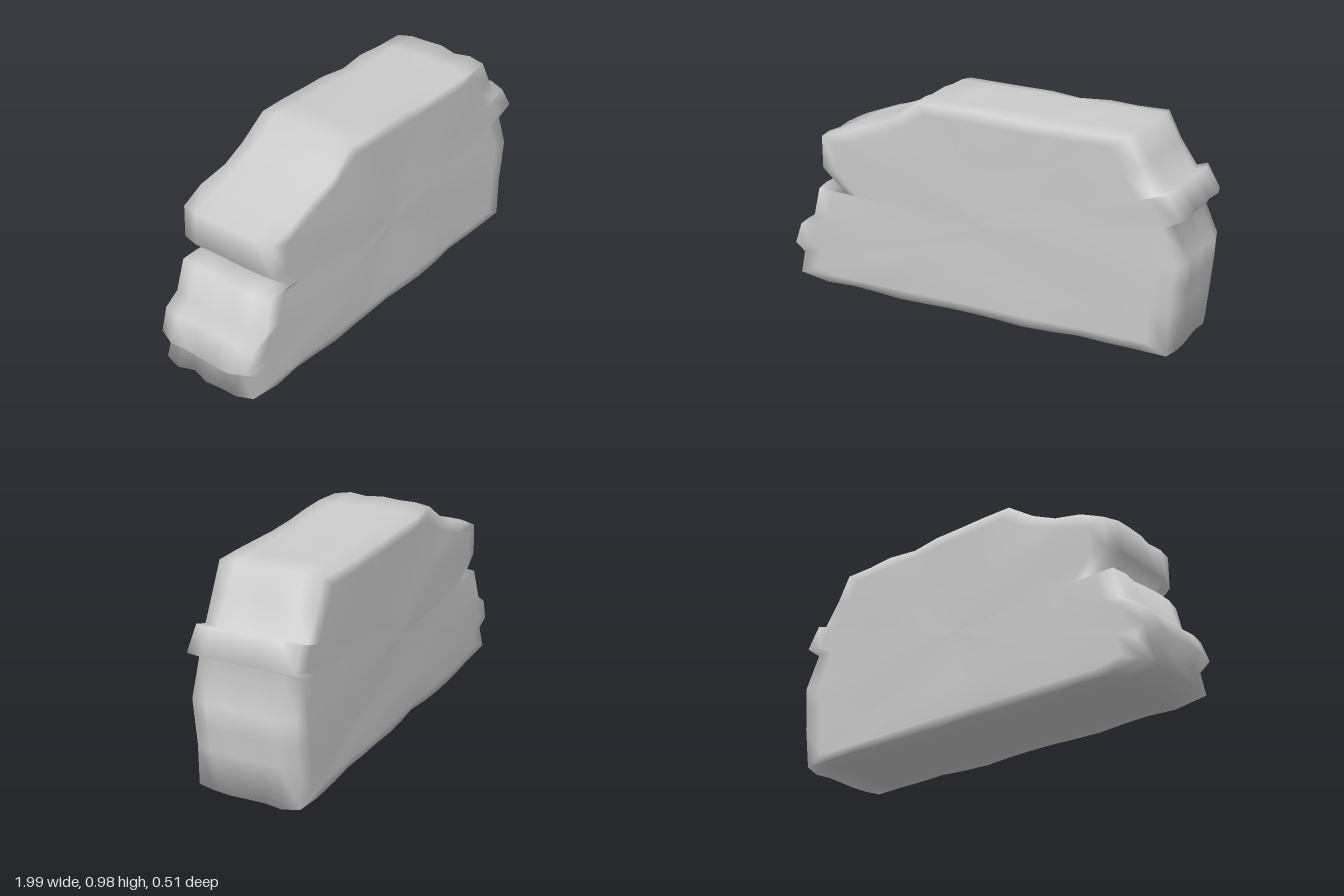
import * as THREE from 'three';

// Broken-stone silhouette, counter-clockwise as seen from the front
const OUTLINE = [
  [-0.97, 0.035], [-0.81, 0.01], [-0.4, 0.008], [0, 0.008], [0.25, 0.005], [0.95, 0.005],
  [0.965, 0.2], [0.985, 0.42], [0.91, 0.59], [0.995, 0.635], [0.935, 0.745], [0.875, 0.725],
  [0.735, 0.965], [0.3, 0.97], [0, 0.98], [-0.28, 0.988], [-0.42, 0.895], [-0.55, 0.845],
  [-0.81, 0.755], [-0.815, 0.6], [-0.7, 0.49], [-0.835, 0.495], [-0.88, 0.34], [-0.95, 0.295],
  [-1, 0.185], [-0.935, 0.15],
];
const CENTER = [0.03, 0.45];

// Repeatable noise from two integers, 0..1
function noise(a, b) {
  const s = Math.sin(a * 12.9898 + b * 78.233) * 43758.5453;
  return s - Math.floor(s);
}

// Split long edges so the stone can be roughened
function subdivide(points, step) {
  const out = [];
  points.forEach((p, i) => {
    const q = points[(i + 1) % points.length];
    const n = Math.max(1, Math.round(Math.hypot(q[0] - p[0], q[1] - p[1]) / step));
    for (let k = 0; k < n; k++) {
      out.push([p[0] + (q[0] - p[0]) * k / n, p[1] + (q[1] - p[1]) * k / n]);
    }
  });
  return out;
}

// Cross-sections from the middle of the back face to the middle of the front face: [z, scale]
function sections() {
  const cap = [[0.25, 0], [0.25, 0.3], [0.25, 0.6], [0.25, 0.88], [0.246, 0.985]];
  const back = cap.map(([z, s]) => [-z, s]);
  const sides = [-0.165, -0.083, 0, 0.083, 0.165].map((z) => [z, 1]);
  return [...back, ...sides, ...cap.reverse()];
}

function stoneGeometry() {
  const ring = subdivide(OUTLINE, 0.14);
  const rows = sections();
  const n = ring.length;
  const positions = [];
  const indices = [];
  rows.forEach(([z, scale], j) => {
    ring.forEach(([x, y], i) => {
      // Chipped edges and sides
      const k = scale > 0.9 ? scale - 0.022 * noise(i, j) * (j % 2 ? 0.4 : 1) : scale;
      const px = CENTER[0] + (x - CENTER[0]) * k;
      const py = CENTER[1] + (y - CENTER[1]) * k;
      // Gentle undulation of the broad faces, with a ragged rim
      let pz = z;
      if (Math.abs(z) > 0.2) {
        const wave = 0.004 * Math.sin(px * 7 + py * 5) * Math.cos(py * 9 - px * 3);
        const rim = scale > 0.9 ? 0.014 * (noise(i + 7, j) - 0.6) : 0;
        pz += Math.sign(z) * (wave + rim);
      }
      positions.push(px, py, pz);
    });
  });
  for (let j = 0; j < rows.length - 1; j++) {
    for (let i = 0; i < n; i++) {
      const a = j * n + i;
      const b = j * n + (i + 1) % n;
      if (j > 0) indices.push(a, b, b + n);
      if (j === 0) indices.push(a, b + n, a + n);
      else if (j < rows.length - 2) indices.push(a, b + n, a + n);
    }
  }
  const geometry = new THREE.BufferGeometry();
  geometry.setAttribute('position', new THREE.Float32BufferAttribute(positions, 3));
  geometry.setIndex(indices);
  geometry.computeVertexNormals();
  return geometry;
}

export function createModel() {
  const group = new THREE.Group();
  group.name = 'brokenStone';
  const slab = new THREE.Mesh(stoneGeometry(), new THREE.MeshStandardMaterial({ color: 0xcccccc }));
  slab.name = 'stoneSlab';
  group.add(slab);
  return group;
}
